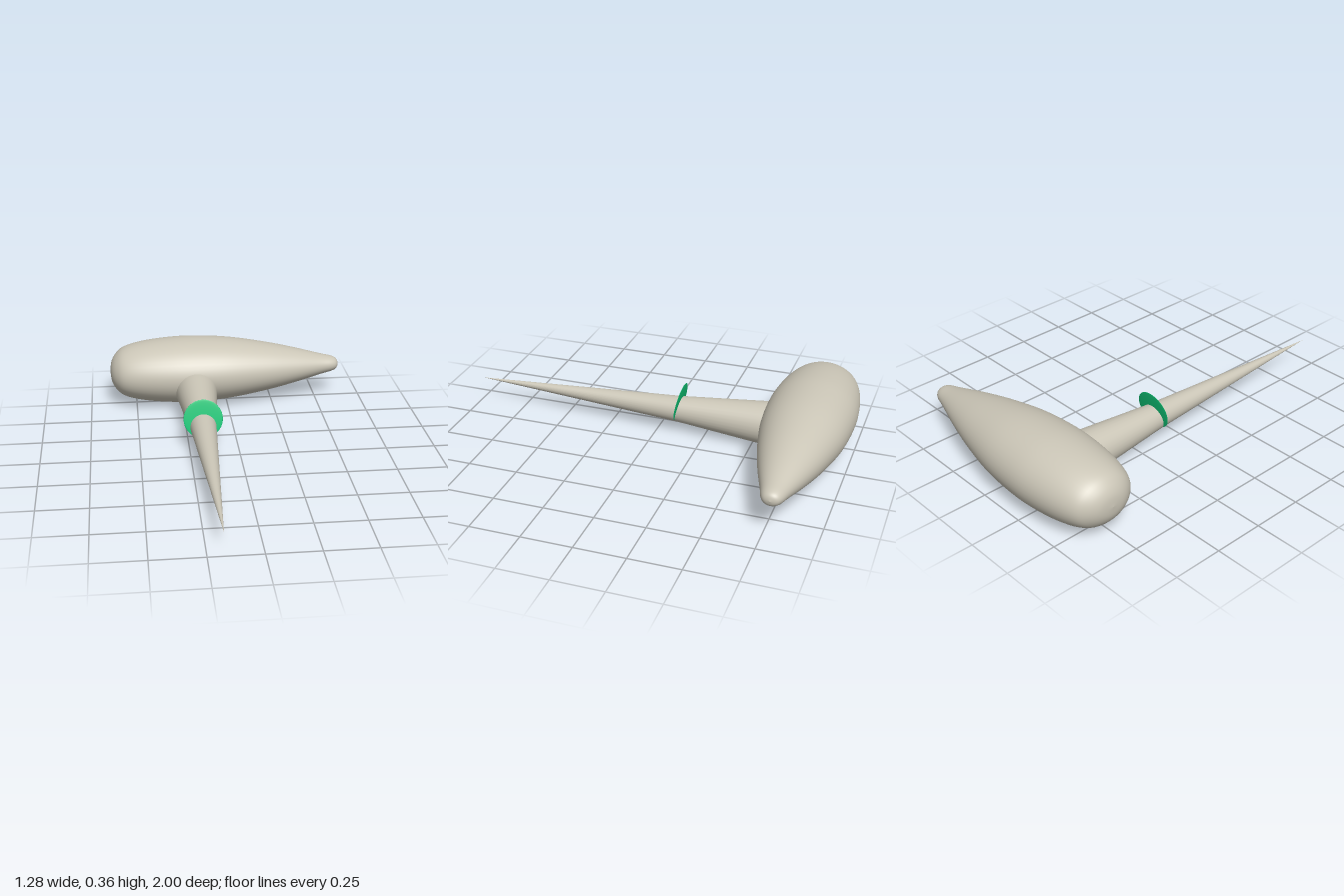
import * as THREE from 'three';

const stone = new THREE.MeshStandardMaterial({ color: 0xcbc6b7 });
stone.name = 'warm grey';
const green = new THREE.MeshStandardMaterial({ color: 0x10c878 });
green.name = 'green';

function part(name, geometry, material, x, y, z) {
  const mesh = new THREE.Mesh(geometry, material);
  mesh.name = name;
  mesh.position.set(x, y, z);
  return mesh;
}

export function createModel() {
  const group = new THREE.Group();
  group.name = 'hammer';

  // Teardrop head: radius along x, blunt at -x and narrow at +x
  const outline = [
    [0, -0.64], [0.055, -0.632], [0.1, -0.605], [0.133, -0.56], [0.157, -0.47],
    [0.173, -0.34], [0.178, -0.2], [0.167, 0], [0.134, 0.21], [0.097, 0.38],
    [0.058, 0.53], [0.041, 0.6], [0.025, 0.627], [0, 0.636],
  ].map(([r, x]) => new THREE.Vector2(r, x));
  const profile = new THREE.SplineCurve(outline).getPoints(64);
  profile.forEach((p) => { p.x = Math.max(p.x, 0); });
  const head = new THREE.LatheGeometry(profile, 48);
  head.rotateZ(-Math.PI / 2);
  head.scale(1, 1, 0.222 / 0.178);
  group.add(part('head', head, stone, 0, 0.184, -0.778));

  // Spike handle: shallow cone, then a steeper flare running into the head
  const spike = new THREE.LatheGeometry([
    [0, -0.76], [0.113, -0.76], [0.113, -0.6], [0.067, -0.11], [0, 1],
  ].map(([r, z]) => new THREE.Vector2(r, z)), 32);
  spike.rotateX(Math.PI / 2);
  group.add(part('handle', spike, stone, -0.177, 0.12, 0));

  // Thin tilted collar disc
  const collar = new THREE.SphereGeometry(0.1, 40, 20);
  collar.scale(1, 1, 0.04);
  const disc = part('collar', collar, green, -0.177, 0.162, -0.112);
  disc.rotation.x = -0.19;
  group.add(disc);

  return group;
}
